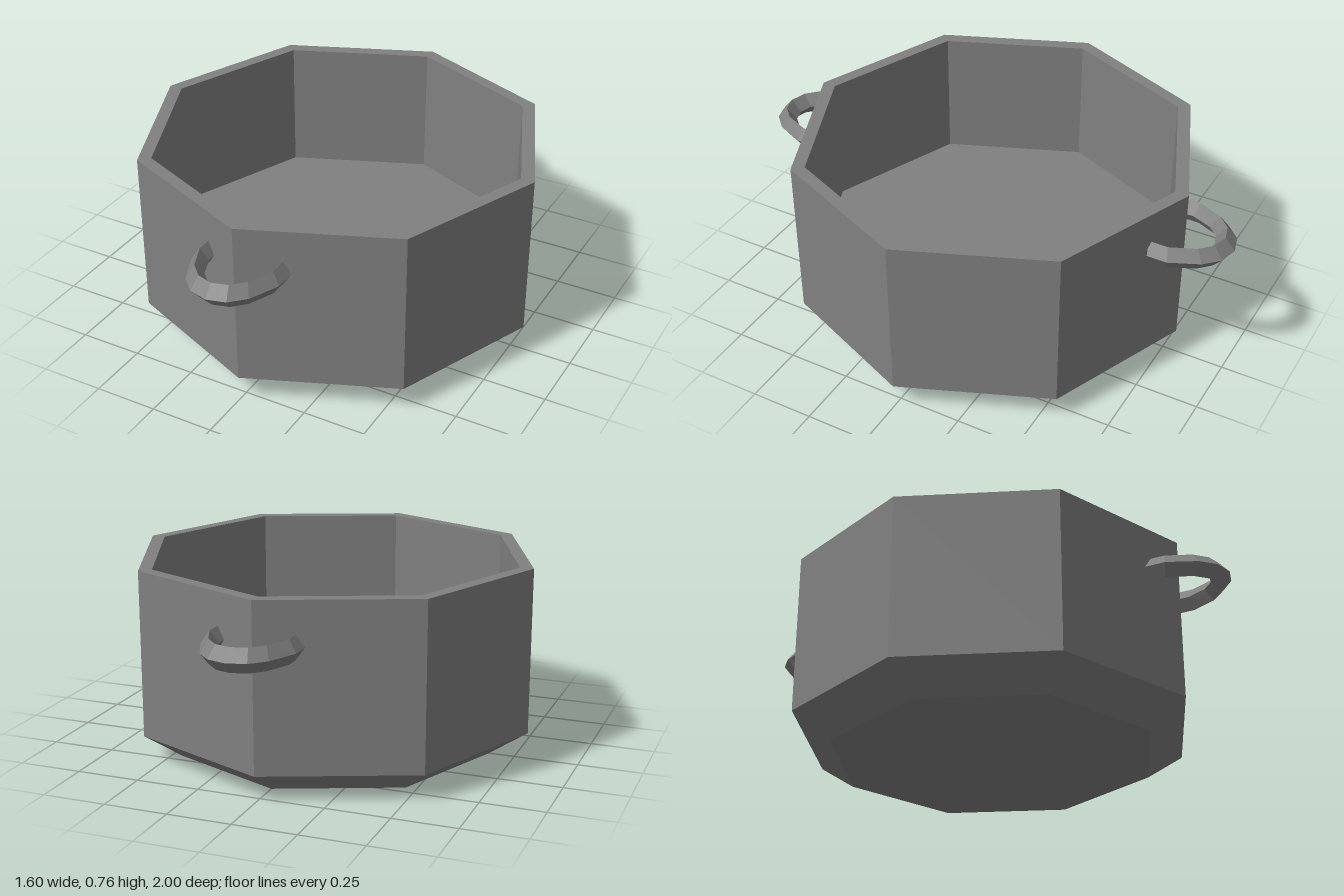
import * as THREE from 'three';

const material = new THREE.MeshStandardMaterial({ color: 0x808080, flatShading: true });

// Curved grip with a diamond section, swept from one end (-x) to the other (+x)
function handleGeometry() {
  const y = 0.584, h = 0.046;
  // Half of the bow, from its tip to its end: outer x, outer z, inner x, inner z
  const half = [
    [0, 1, 0, 0.92],
    [0.074, 0.98, 0.05, 0.905],
    [0.13, 0.925, 0.09, 0.865],
    [0.182, 0.81, 0.122, 0.785],
    [0.182, 0.73, 0.122, 0.715],
  ];
  const mirrored = half.slice(1).reverse().map(([ox, oz, ix, iz]) => [-ox, oz, -ix, iz]);
  const rings = [...mirrored, ...half];

  const positions = [], index = [];
  for (const [ox, oz, ix, iz] of rings) {
    const mx = (ox + ix) / 2, mz = (oz + iz) / 2;
    positions.push(ox, y, oz, mx, y + h, mz, ix, y, iz, mx, y - h, mz);
  }
  for (let i = 0; i < rings.length - 1; i++) {
    for (let j = 0; j < 4; j++) {
      const a = i * 4 + j, b = i * 4 + (j + 1) % 4;
      index.push(a, a + 4, b, b, a + 4, b + 4);
    }
  }
  // End caps
  const e = (rings.length - 1) * 4;
  index.push(0, 1, 2, 0, 2, 3, e, e + 2, e + 1, e, e + 3, e + 2);

  const geometry = new THREE.BufferGeometry();
  geometry.setAttribute('position', new THREE.Float32BufferAttribute(positions, 3));
  geometry.setIndex(index);
  geometry.computeVertexNormals();
  return geometry;
}

export function createModel() {
  const model = new THREE.Group();
  model.name = 'cookingPot';

  // Eight-sided pot: chamfered base, outer wall, rim, inner wall and floor
  const profile = [
    [0, 0], [0.648, 0], [0.8, 0.103], [0.8, 0.756],
    [0.746, 0.756], [0.746, 0.23], [0, 0.23],
  ].map(([r, y]) => new THREE.Vector2(r, y));
  const pot = new THREE.Mesh(new THREE.LatheGeometry(profile, 8), material);
  pot.name = 'pot';
  model.add(pot);

  // Front and back handles
  const grip = handleGeometry();
  for (const [name, turn] of [['frontHandle', 0], ['backHandle', Math.PI]]) {
    const handle = new THREE.Mesh(grip, material);
    handle.name = name;
    handle.rotation.y = turn;
    handle.position.x = 0.011;
    model.add(handle);
  }
  return model;
}
